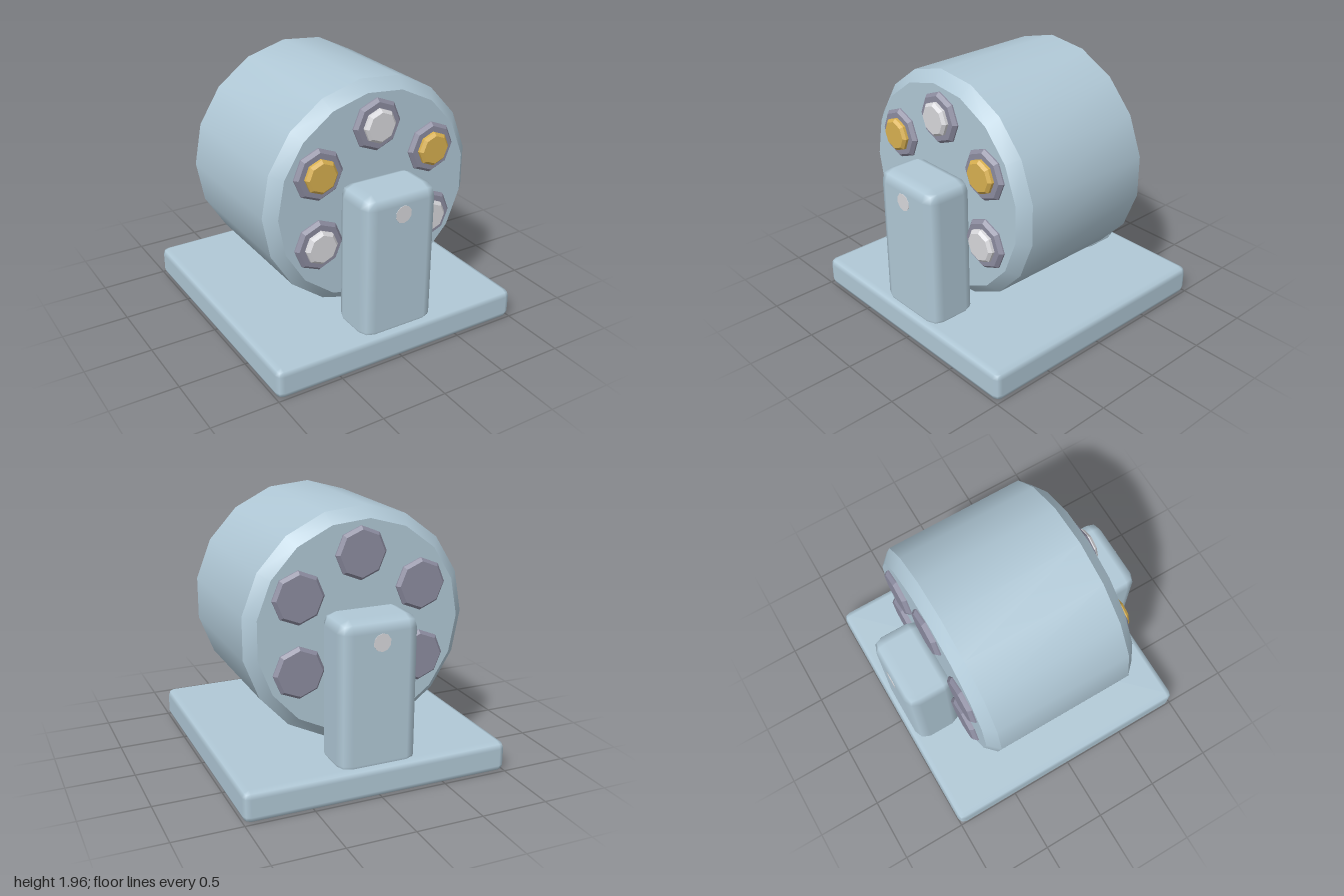
import * as THREE from 'three';
import { toCreasedNormals } from 'three/addons/utils/BufferGeometryUtils.js';
import { RoundedBoxGeometry } from 'three/addons/geometries/RoundedBoxGeometry.js';

const AXIS_Y = 1.12;

function material(name, color) {
  const m = new THREE.MeshStandardMaterial({ color });
  m.name = name;
  return m;
}

// Solid turned around the z axis; profile is [radius, z] from back to front
function turned(profile, sides, start = 0) {
  const points = profile.map(([r, z]) => new THREE.Vector2(r, z));
  const geometry = new THREE.LatheGeometry(points, sides, start).rotateX(Math.PI / 2);
  return toCreasedNormals(geometry, Math.PI / 6);
}

export function createModel() {
  const model = new THREE.Group();
  model.name = 'drumOnStand';

  const blue = material('paleBlue', 0xb0c8d6);
  const slate = material('slateGrey', 0x8c8ca0);
  const silver = material('silver', 0xd8d8dc);
  const gold = material('gold', 0xd8b050);

  const add = (name, geometry, mat, x, y, z) => {
    const mesh = new THREE.Mesh(geometry, mat);
    mesh.name = name;
    mesh.position.set(x, y, z);
    model.add(mesh);
  };

  // Base slab
  add('base', new RoundedBoxGeometry(2, 0.23, 2, 1, 0.05), blue, 0, 0.115, 0);

  // Two upright posts holding the axle
  const post = new RoundedBoxGeometry(0.59, 1.12, 0.38, 1, 0.09);
  add('frontPost', post, blue, 0, 0.72, 0.77);
  add('backPost', post, blue, 0, 0.72, -0.77);

  // Axle, its ends just proud of the posts
  const axle = turned([[0, -0.963], [0.065, -0.963], [0.065, 0.963], [0, 0.963]], 10);
  add('axle', axle, silver, 0, AXIS_Y, 0);

  // Chamfered drum
  const drum = turned([
    [0, -0.61], [0.765, -0.61], [0.845, -0.53],
    [0.845, 0.53], [0.765, 0.61], [0, 0.61],
  ], 17, -Math.PI / 2);
  add('drum', drum, blue, 0, AXIS_Y, 0);

  // Six chambers through the drum, with inserts alternating in colour
  const chamber = turned([
    [0, -0.645], [0.167, -0.645], [0.19, -0.62],
    [0.19, 0.62], [0.167, 0.645], [0, 0.645],
  ], 8);
  const insert = turned([
    [0, 0.5], [0.125, 0.5], [0.125, 0.665], [0.104, 0.685], [0, 0.685],
  ], 8);
  for (let i = 0; i < 6; i++) {
    const a = (i * Math.PI) / 3;
    const x = 0.53 * Math.sin(a);
    const y = AXIS_Y + 0.53 * Math.cos(a);
    add('chamber' + (i + 1), chamber, slate, x, y, 0);
    add('insert' + (i + 1), insert, i % 2 ? gold : silver, x, y, 0);
  }

  return model;
}
